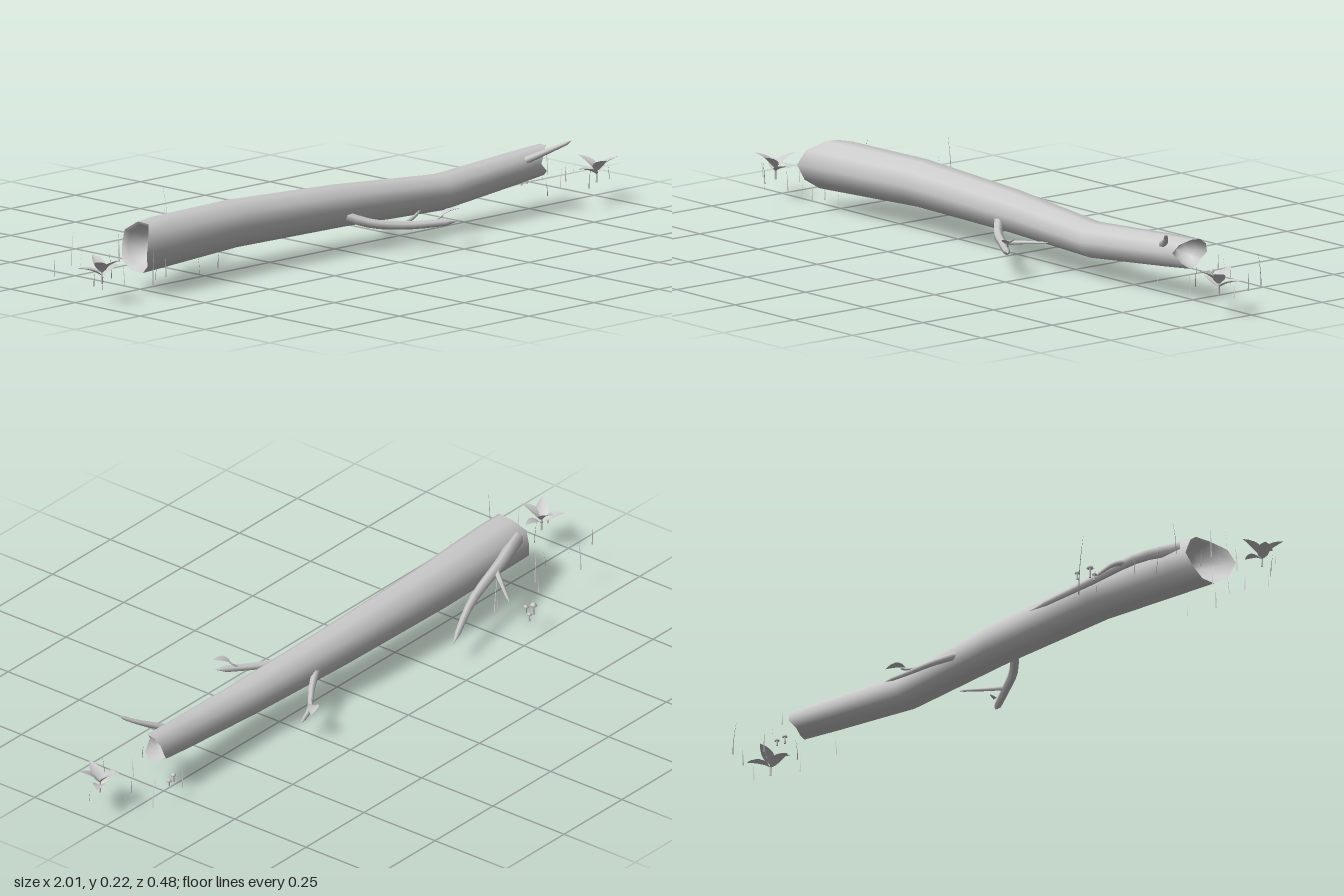
import * as THREE from 'three';

const V = (x, y, z) => new THREE.Vector3(x, y, z);
const GROUND = 0.055;

export function createModel() {
  const model = new THREE.Group();
  const solid = new THREE.MeshStandardMaterial({ color: 0xcccccc });
  const thin = new THREE.MeshStandardMaterial({ color: 0xcccccc, side: THREE.DoubleSide });

  const add = (name, geometry, material = solid, parent = model) => {
    const mesh = new THREE.Mesh(geometry, material);
    mesh.name = name;
    parent.add(mesh);
    return mesh;
  };

  // Skin through closed rings of equal point count, running towards +x
  const skin = (rings) => {
    const n = rings[0].length, pos = [], index = [];
    rings.forEach((ring) => ring.forEach((p) => pos.push(p.x, p.y, p.z)));
    for (let i = 0; i < rings.length - 1; i++) {
      for (let j = 0; j < n; j++) {
        const a = i * n + j, b = i * n + (j + 1) % n;
        index.push(a, a + n, b, b, a + n, b + n);
      }
    }
    const g = new THREE.BufferGeometry();
    g.setAttribute('position', new THREE.Float32BufferAttribute(pos, 3));
    g.setIndex(index);
    g.computeVertexNormals();
    return g;
  };

  // Trunk: bent, tapering, with broken ends given as one x per side
  const brokenLeft = [-0.82, -0.80, -0.765, -0.76, -0.775, -0.77, -0.785, -0.785, -0.785, -0.805];
  const brokenRight = [0.735, 0.755, 0.78, 0.785, 0.785, 0.78, 0.76, 0.765, 0.775, 0.765];
  const trunkRing = (x, y, z, r, s = 1) => brokenLeft.map((_, j) => {
    const a = (j / brokenLeft.length) * Math.PI * 2;
    return V(Array.isArray(x) ? x[j] : x, y + Math.sin(a) * r * s, z + Math.cos(a) * r);
  });
  const leftRim = trunkRing(brokenLeft, 0.124, 0.024, 0.073, 0.96);
  const rightRim = trunkRing(brokenRight, 0.136, 0.018, 0.043);
  add('trunkBark', skin([
    leftRim,
    trunkRing(-0.7, 0.127, 0.019, 0.073, 0.97),
    trunkRing(-0.4, 0.131, 0.002, 0.068, 0.97),
    trunkRing(0, 0.122, 0.01, 0.061, 0.97),
    trunkRing(0.37, 0.108, 0.032, 0.053, 0.95),
    trunkRing(0.66, 0.128, 0.022, 0.046),
    rightRim,
  ]));
  // Hollows in both ends
  add('leftHollow', skin([
    trunkRing(-0.71, 0.125, 0.022, 0.0005),
    trunkRing(-0.72, 0.125, 0.022, 0.04),
    trunkRing(brokenLeft.map((x) => x * 0.5 - 0.375), 0.124, 0.023, 0.06),
    leftRim,
  ]));
  add('rightHollow', skin([
    rightRim,
    trunkRing(brokenRight.map((x) => x * 0.5 + 0.35), 0.136, 0.018, 0.035),
    trunkRing(0.71, 0.136, 0.018, 0.024),
    trunkRing(0.7, 0.136, 0.018, 0.0005),
  ]));

  // Tapering branch along a curve, closed at its tip
  const branch = (name, points, r0, r1, sides = 6) => {
    const curve = new THREE.CatmullRomCurve3(points.map((p) => V(...p)));
    const steps = 10;
    const g = new THREE.TubeGeometry(curve, steps, 1, sides, false);
    const pos = g.attributes.position, p = V(0, 0, 0);
    for (let i = 0; i < pos.count; i++) {
      const k = Math.floor(i / (sides + 1));
      const c = curve.getPointAt(k / steps);
      const r = k === steps ? 0.0005 : r0 + (r1 - r0) * (k / steps);
      p.fromBufferAttribute(pos, i).sub(c).multiplyScalar(r).add(c);
      pos.setXYZ(i, p.x, p.y, p.z);
    }
    return add(name, g);
  };
  branch('backBranch', [[-0.74, 0.155, -0.03], [-0.62, 0.15, -0.075], [-0.45, 0.115, -0.11], [-0.29, 0.065, -0.17]], 0.02, 0.007);
  branch('backBranchTwig', [[-0.585, 0.145, -0.08], [-0.56, 0.135, -0.115], [-0.54, 0.09, -0.165]], 0.01, 0.004);
  branch('rearBranch', [[0.12, 0.118, -0.025], [0.19, 0.1, -0.065], [0.25, 0.075, -0.105], [0.31, 0.065, -0.125]], 0.012, 0.005);
  branch('rearBranchTwig', [[0.22, 0.09, -0.085], [0.245, 0.085, -0.11], [0.25, 0.085, -0.125]], 0.005, 0.003);
  branch('frontBranch', [[-0.01, 0.1, 0.055], [0.04, 0.08, 0.1], [0.12, 0.07, 0.15], [0.24, 0.076, 0.232]], 0.014, 0.01);
  branch('frontBranchTwig', [[0.11, 0.07, 0.145], [0.17, 0.08, 0.13], [0.24, 0.085, 0.09]], 0.007, 0.003);
  branch('frontBranchStalk', [[0.18, 0.072, 0.19], [0.2, 0.085, 0.2], [0.21, 0.095, 0.21]], 0.004, 0.002);
  branch('endTwig', [[0.68, 0.15, 0.05], [0.72, 0.168, 0.075], [0.755, 0.185, 0.1], [0.785, 0.203, 0.127]], 0.011, 0.005);

  // Leaf growing along +z, creased down the middle and drooping at its tip
  const leaf = (name, x, y, z, turn, rise, length, width, parent) => {
    const g = new THREE.PlaneGeometry(1, 1, 2, 6);
    const pos = g.attributes.position;
    for (let i = 0; i < pos.count; i++) {
      const t = pos.getY(i) + 0.5, side = pos.getX(i);
      const w = width * Math.pow(Math.sin(Math.PI * Math.pow(t, 0.8)), 0.8) || 0;
      pos.setXYZ(i, side * w, Math.abs(side) * w * 0.35 - t * t * length * 0.35, t * length);
    }
    g.computeVertexNormals();
    const m = add(name, g, thin, parent);
    m.position.set(x, y, z);
    m.rotation.set(-rise, turn, 0, 'YXZ');
  };
  leaf('frontBranchLeaf', 0.205, 0.09, 0.205, 1.0, 0.7, 0.055, 0.035);
  leaf('rearBranchLeaf', 0.24, 0.088, -0.115, 2.1, 0.35, 0.055, 0.032);

  // Leafy seedlings beyond both ends of the trunk
  const seedling = (name, x, z, turn) => {
    const plant = new THREE.Group();
    plant.name = name;
    plant.position.set(x, GROUND, z);
    model.add(plant);
    const stem = add('stem', new THREE.CylinderGeometry(0.002, 0.003, 0.04, 5), solid, plant);
    stem.position.y = 0.02;
    for (let i = 0; i < 5; i++) {
      const low = i % 2;
      leaf('leaf', 0, 0.03 - low * 0.008, 0, turn + i * Math.PI * 0.4, 0.95 - low * 0.3, 0.068, 0.036, plant);
    }
  };
  seedling('leftSeedling', -0.957, 0.06, 0.3);
  seedling('rightSeedling', 0.942, 0.068, 0.9);

  // Mushrooms: x, z, height
  const capProfile = [[0.0, 0.010], [0.004, 0.009], [0.008, 0.005], [0.010, 0], [0.006, -0.001], [0, 0.001]]
    .map(([r, y]) => new THREE.Vector2(r, y)).reverse();
  [[-0.575, -0.222, 0.028], [-0.54, -0.236, 0.02], [-0.57, -0.2, 0.018], [0.77, -0.05, 0.02], [0.795, -0.055, 0.015]].forEach(([x, z, h]) => {
    const mushroom = new THREE.Group();
    mushroom.name = 'mushroom';
    mushroom.position.set(x, GROUND, z);
    model.add(mushroom);
    add('stalk', new THREE.CylinderGeometry(0.0022, 0.003, h, 6), solid, mushroom).position.y = h / 2;
    const cap = add('cap', new THREE.LatheGeometry(capProfile, 8), thin, mushroom);
    cap.position.y = h - 0.001;
    cap.scale.setScalar(h > 0.025 ? 1 : 0.75);
  });

  // Grass blades: narrow bent strips
  const blade = (x, y, z, h, turn) => {
    const g = new THREE.PlaneGeometry(0.004, h, 1, 4);
    const pos = g.attributes.position;
    for (let i = 0; i < pos.count; i++) {
      const t = pos.getY(i) / h + 0.5;
      pos.setXYZ(i, pos.getX(i) * (1 - t * 0.85), t * h, t * t * h * 0.12);
    }
    g.computeVertexNormals();
    const m = add('grassBlade', g, thin);
    m.position.set(x, y, z);
    m.rotation.y = turn;
  };
  const grass = [
    [-0.998, 0.07, 0.04], [-0.98, -0.1, 0.05], [-0.93, 0.12, 0.06], [-0.9, -0.08, 0.09], [-0.89, 0.03, 0.07],
    [-0.87, 0.17, 0.105], [-0.85, -0.165, 0.1], [-0.84, -0.06, 0.05], [-0.82, 0.13, 0.06], [-0.77, 0.12, 0.05],
    [-0.72, -0.11, 0.08], [-0.68, -0.155, 0.06], [-0.68, 0.16, 0.05], [-0.59, 0.14, 0.04], [-0.52, -0.14, 0.11],
    [-0.475, -0.165, 0.168], [0.69, -0.14, 0.05], [0.72, 0.1, 0.04], [0.78, -0.09, 0.05], [0.82, 0.05, 0.06],
    [0.85, -0.05, 0.05], [0.87, 0.11, 0.06], [0.89, 0.0, 0.04], [0.92, -0.1, 0.09], [0.95, -0.03, 0.05], [0.998, 0.06, 0.04],
  ];
  grass.forEach(([x, z, h], i) => blade(x, GROUND, z, h, i * 2.4));
  blade(-0.86, 0, -0.035, 0.065, 0.5);

  return model;
}
